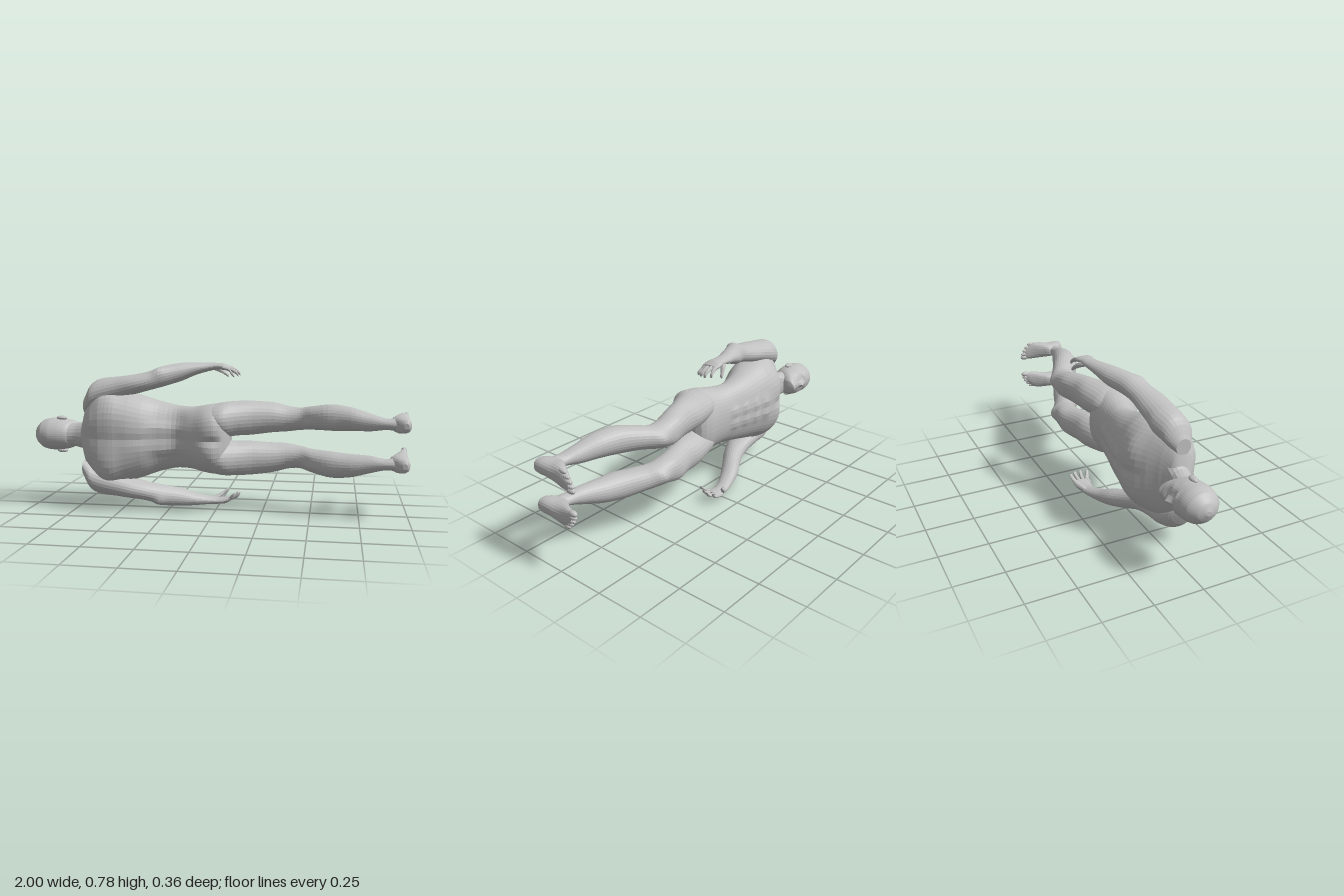
import * as THREE from 'three';

const MID = 0.393; // height of the body's plane of symmetry (the figure lies on its side, head at -x)

export function createModel() {
  const model = new THREE.Group();
  model.name = 'recliningFigure';
  const skin = new THREE.MeshStandardMaterial({ color: 0xc0c0c0, flatShading: true });
  skin.name = 'plain grey';

  function add(parent, name, geometry) {
    const mesh = new THREE.Mesh(geometry, skin);
    mesh.name = name;
    parent.add(mesh);
  }

  // Skin through elliptical sections [x, offset from MID, z, radiusU, radiusV], set across one axis.
  // Each muscle [x, offset, z, length, width, height] swells (or dents) the skin around a point.
  function loft(parent, name, sections, { axis = 0, side = 1, rings = 28, sides = 20, muscles = [], square = 1 } = {}) {
    const u = (axis + 1) % 3, v = (axis + 2) % 3;
    const centres = new THREE.CatmullRomCurve3(sections.map(s => new THREE.Vector3(s[0], MID + side * s[1], s[2])));
    const radii = new THREE.CatmullRomCurve3(sections.map(s => new THREE.Vector3(s[3], s[4], 0)));
    const pos = [], index = [];
    const soft = n => Math.sign(n) * Math.abs(n) ** square;
    for (let i = 0; i <= rings; i++) {
      const c = centres.getPoint(i / rings).toArray(), r = radii.getPoint(i / rings);
      for (let j = 0; j < sides; j++) {
        const a = (j / sides) * Math.PI * 2, p = [...c];
        const du = soft(Math.cos(a)) * Math.max(r.x, 0.001);
        const dv = soft(Math.sin(a)) * Math.max(r.y, 0.001);
        p[u] += du;
        p[v] += dv;
        let push = 0;
        for (const [x, dy, z, length, width, height] of muscles) {
          const across = (p[1] - MID - dy * side) ** 2 + (p[2] - z) ** 2;
          push += height * Math.exp(-(((p[0] - x) / length) ** 2) - across / width ** 2);
        }
        const k = push / Math.hypot(du, dv);
        p[u] += du * k;
        p[v] += dv * k;
        pos.push(...p);
      }
    }
    const flip = sections[0][axis] > sections[sections.length - 1][axis];
    const tri = (a, b, c) => flip ? index.push(a, c, b) : index.push(a, b, c);
    for (let i = 0; i < rings; i++) for (let j = 0; j < sides; j++) {
      const a = i * sides + j, b = i * sides + (j + 1) % sides;
      tri(a, b, a + sides);
      tri(b, b + sides, a + sides);
    }
    // End caps
    const last = rings * sides;
    for (let j = 1; j < sides - 1; j++) {
      tri(0, j + 1, j);
      tri(last, last + j, last + j + 1);
    }
    const g = new THREE.BufferGeometry();
    g.setAttribute('position', new THREE.Float32BufferAttribute(pos, 3));
    g.setIndex(index);
    g.computeVertexNormals();
    add(parent, name, g);
  }

  // Rounded small part
  function bead(parent, name, x, dy, z, rx, ry, rz) {
    const g = new THREE.SphereGeometry(1, 12, 8);
    g.scale(rx, ry, rz);
    g.translate(x, MID + dy, z);
    add(parent, name, g);
  }

  const mirrored = list => list.flatMap(m => [m, [m[0], -m[1], ...m.slice(2)]]);

  // Torso: chest, shoulder blades, neck muscles, back columns, buttocks, flanks, then belly blocks
  loft(model, 'torso', [
    [-0.715, 0, 0.04, 0.065, 0.045], [-0.695, 0, 0.045, 0.145, 0.06], [-0.65, 0, 0.046, 0.205, 0.094],
    [-0.6, 0, 0.038, 0.236, 0.126], [-0.52, 0, 0.014, 0.24, 0.155], [-0.45, 0, 0.008, 0.233, 0.156],
    [-0.38, 0, 0.005, 0.212, 0.142], [-0.3, 0, -0.01, 0.188, 0.114], [-0.2, 0, -0.008, 0.167, 0.094],
    [-0.12, 0, 0.02, 0.165, 0.11], [-0.05, 0, 0.038, 0.177, 0.12], [0, 0, 0.038, 0.184, 0.12],
    [0.04, 0, 0.034, 0.178, 0.108], [0.065, 0, 0.026, 0.15, 0.085], [0.08, 0, 0.02, 0.1, 0.05],
  ], {
    rings: 56, sides: 48, square: 0.92,
    muscles: [
      ...mirrored([
        [-0.54, 0.1, -0.13, 0.065, 0.08, 0.014], [-0.54, 0.115, 0.13, 0.09, 0.065, 0.018],
        [-0.66, 0.075, 0.11, 0.05, 0.06, 0.016], [-0.26, 0.05, 0.095, 0.14, 0.035, 0.013],
        [0, 0.085, 0.14, 0.075, 0.07, 0.018], [-0.42, 0.2, 0.05, 0.1, 0.07, 0.006],
        [-0.56, 0.19, 0.1, 0.08, 0.06, 0.018],
        ...[0, 1, 2, 3].map(i => [-0.4 + i * 0.075, 0.036, -0.135 + i * 0.012, 0.027, 0.027, 0.011]),
      ]),
      // Lower shoulder pulled back, then spine groove, breastbone and cleft
      [-0.56, -0.17, 0.13, 0.08, 0.07, 0.018],
      [-0.4, 0, 0.15, 0.28, 0.028, -0.009], [-0.54, 0, -0.15, 0.07, 0.025, -0.012], [0.01, 0, 0.16, 0.07, 0.02, -0.014],
    ],
  });

  // Neck
  loft(model, 'neck', [
    [-0.83, 0, 0.02, 0.062, 0.06], [-0.77, 0, 0.02, 0.063, 0.055],
    [-0.72, 0, 0.03, 0.072, 0.056], [-0.66, 0, 0.04, 0.14, 0.078],
  ], { rings: 12, muscles: mirrored([[-0.73, 0.045, -0.01, 0.05, 0.02, 0.007]]) });

  // Head facing -z: brows, eye sockets, eyes, cheekbones, then nose, lips and chin
  const head = new THREE.Group();
  head.name = 'head';
  model.add(head);
  loft(head, 'skullAndFace', [
    [-1, 0, 0, 0.012, 0.012], [-0.985, 0, 0, 0.045, 0.05], [-0.95, 0, 0, 0.076, 0.084],
    [-0.9, 0, 0, 0.087, 0.096], [-0.85, 0, -0.002, 0.086, 0.094], [-0.8, 0, -0.008, 0.076, 0.084],
    [-0.765, 0, -0.035, 0.058, 0.06], [-0.742, 0, -0.055, 0.036, 0.04], [-0.735, 0, -0.06, 0.012, 0.015],
  ], {
    rings: 52, sides: 44,
    muscles: [
      ...mirrored([
        [-0.872, 0.032, -0.086, 0.01, 0.024, 0.006], [-0.85, 0.032, -0.086, 0.013, 0.018, -0.009],
        [-0.849, 0.034, -0.08, 0.006, 0.009, 0.006], [-0.82, 0.05, -0.065, 0.018, 0.02, 0.005],
      ]),
      [-0.822, 0, -0.096, 0.014, 0.013, 0.02], [-0.845, 0, -0.096, 0.016, 0.009, 0.009],
      [-0.79, 0, -0.088, 0.006, 0.02, 0.009], [-0.777, 0, -0.088, 0.006, 0.018, 0.009],
      [-0.752, 0, -0.092, 0.012, 0.022, 0.008],
    ],
  });

  for (const side of [1, -1]) {
    bead(head, 'ear', -0.848, side * 0.089, 0.012, 0.03, 0.012, 0.018);
    const half = new THREE.Group();
    half.name = (side > 0 ? 'upper' : 'lower') + 'SideLimbs';
    model.add(half);

    // Leg: kneecap, thigh muscles, calf heads and ankle bones
    loft(half, 'leg', [
      [-0.06, 0.098, 0.03, 0.06, 0.08], [0, 0.101, 0.035, 0.083, 0.112], [0.05, 0.102, 0.028, 0.091, 0.116],
      [0.12, 0.106, -0.004, 0.091, 0.098], [0.2, 0.107, -0.027, 0.089, 0.077], [0.3, 0.107, -0.055, 0.079, 0.073],
      [0.38, 0.1, -0.066, 0.066, 0.067], [0.44, 0.102, -0.06, 0.059, 0.069], [0.5, 0.112, -0.025, 0.061, 0.074],
      [0.6, 0.122, 0.018, 0.067, 0.069], [0.7, 0.12, 0.048, 0.06, 0.062], [0.8, 0.107, 0.07, 0.044, 0.046],
      [0.88, 0.102, 0.087, 0.028, 0.038], [0.95, 0.1, 0.09, 0.031, 0.042],
    ], {
      side, rings: 56, sides: 28,
      muscles: [
        [0.43, 0.1, -0.13, 0.03, 0.03, 0.009], [0.34, 0.065, -0.11, 0.045, 0.035, 0.008],
        [0.3, 0.145, -0.11, 0.07, 0.04, 0.006], [0.58, 0.088, 0.07, 0.065, 0.035, 0.009],
        [0.57, 0.15, 0.065, 0.065, 0.035, 0.009], [0.48, 0.112, 0.04, 0.05, 0.02, -0.006],
        [0.915, 0.07, 0.075, 0.014, 0.016, 0.007], [0.92, 0.132, 0.08, 0.014, 0.016, 0.007],
      ],
    });

    // Foot and toes
    loft(half, 'foot', [
      [0.965, 0.1, 0.148, 0.012, 0.014], [0.957, 0.1, 0.135, 0.034, 0.034], [0.947, 0.1, 0.1, 0.047, 0.041],
      [0.943, 0.1, 0.05, 0.052, 0.041], [0.957, 0.1, 0, 0.038, 0.047], [0.969, 0.096, -0.04, 0.026, 0.049],
      [0.977, 0.083, -0.075, 0.017, 0.037], [0.98, 0.074, -0.09, 0.012, 0.026],
    ], { axis: 2, side, rings: 22, square: 0.85 });
    for (let i = 0; i < 5; i++)
      bead(half, 'toe', 0.98, side * (0.057 + i * 0.02), -0.093 + i * i * 0.0027, 0.015 - i * 0.001, i ? 0.011 : 0.015, 0.026 - i * 0.001);

    // Arm: deltoid, biceps, triceps and forearm; the lower arm is drawn further back at its shoulder
    const back = x => side > 0 ? 0 : THREE.MathUtils.mapLinear(x, -0.69, 0.1, 0.04, -0.018);
    const arm = [
      [-0.7, 0.165, 0.05, 0.04, 0.038], [-0.655, 0.215, 0.042, 0.067, 0.074], [-0.58, 0.242, 0.03, 0.066, 0.083],
      [-0.5, 0.261, 0.031, 0.059, 0.075], [-0.42, 0.281, 0.028, 0.051, 0.067], [-0.35, 0.299, 0.018, 0.05, 0.063],
      [-0.285, 0.32, -0.004, 0.054, 0.06], [-0.2, 0.34, -0.049, 0.049, 0.057], [-0.12, 0.358, -0.081, 0.033, 0.046],
      [-0.05, 0.367, -0.102, 0.022, 0.038], [-0.01, 0.37, -0.106, 0.018, 0.037], [0.03, 0.367, -0.107, 0.017, 0.045],
      [0.06, 0.358, -0.104, 0.012, 0.044],
    ];
    const shifted = list => list.map(([x, dy, z, ...size]) => [x, dy, z + back(x), ...size]);
    loft(half, 'arm', shifted(arm), {
      side, rings: 52, sides: 24,
      muscles: shifted([
        [-0.61, 0.29, 0.03, 0.06, 0.06, 0.008], [-0.44, 0.26, -0.03, 0.07, 0.035, 0.006],
        [-0.44, 0.29, 0.085, 0.09, 0.045, 0.009], [-0.3, 0.35, 0.05, 0.03, 0.03, 0.009],
      ]),
    });

    // Curled, spread fingers and thumb
    for (let i = 0; i < 4; i++) {
      const z = -0.139 + i * 0.023, tip = -0.146 + i * 0.03, reach = [0.1, 0.114, 0.107, 0.088][i];
      loft(half, 'finger', shifted([
        [0.025, 0.365, z, 0.01, 0.012], [0.058, 0.361 - i * 0.002, z, 0.011, 0.0115],
        [reach - 0.018, 0.348 - i * 0.003, (z + tip) / 2, 0.0105, 0.0105],
        [reach - 0.002, 0.333 - i * 0.003, tip, 0.009, 0.009], [reach, 0.328 - i * 0.003, tip, 0.004, 0.004],
      ]), { side, rings: 10, sides: 8 });
    }
    loft(half, 'thumb', shifted([
      [-0.04, 0.362, -0.12, 0.01, 0.014], [0, 0.35, -0.142, 0.015, 0.016],
      [0.022, 0.334, -0.157, 0.012, 0.012], [0.04, 0.318, -0.165, 0.009, 0.009], [0.044, 0.314, -0.167, 0.004, 0.004],
    ]), { side, rings: 10, sides: 8 });
  }
  return model;
}
